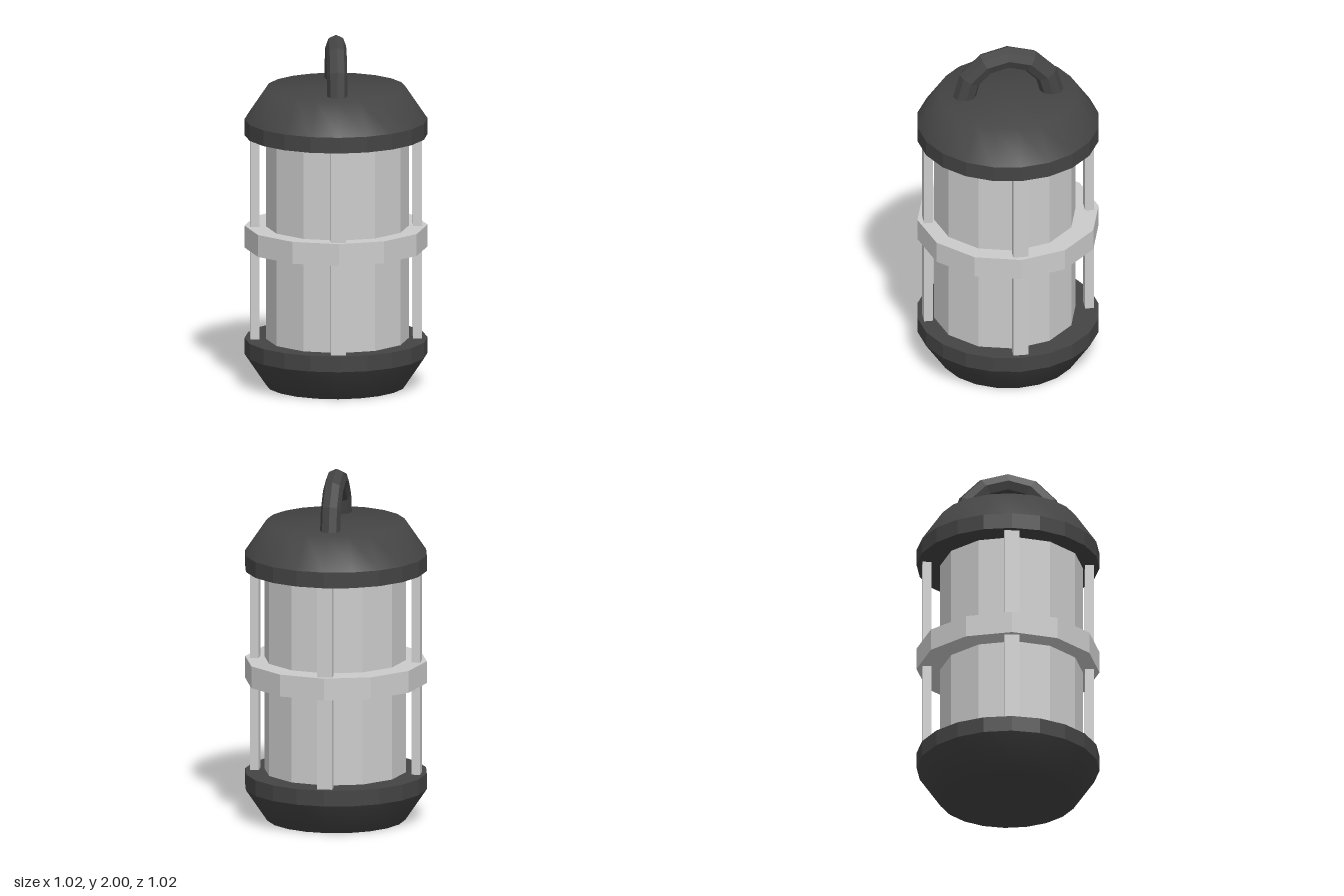
import * as THREE from 'three';

export function createModel() {
  const lantern = new THREE.Group();
  lantern.name = 'lantern';

  const grey = new THREE.MeshStandardMaterial({ color: 0xcccccc, flatShading: true });
  const dark = new THREE.MeshStandardMaterial({ color: 0x444444 });
  const darkFlat = new THREE.MeshStandardMaterial({ color: 0x444444, flatShading: true });

  const add = (parent, name, geometry, material, x = 0, y = 0, z = 0) => {
    const mesh = new THREE.Mesh(geometry, material);
    mesh.name = name;
    mesh.position.set(x, y, z);
    parent.add(mesh);
    return mesh;
  };

  // End cap: faceted rim below a smooth tapered dome with a flat crown
  const R = 0.512;
  const endCap = (name) => {
    const cap = new THREE.Group();
    cap.name = name;
    add(cap, name + 'Rim', new THREE.CylinderGeometry(R, R, 0.09, 20), darkFlat, 0, 0.045, 0);
    const profile = [[R, 0.09], [0.39, 0.27], [0, 0.27]].map(([x, y]) => new THREE.Vector2(x, y));
    add(cap, name + 'Dome', new THREE.LatheGeometry(profile, 20), dark);
    lantern.add(cap);
    return cap;
  };
  endCap('topCap').position.y = 1.43;
  const base = endCap('base');
  base.rotation.x = Math.PI;
  base.position.y = 0.27;

  // Twelve-sided lamp body, sitting slightly off centre
  add(lantern, 'body', new THREE.CylinderGeometry(0.4, 0.4, 1.2, 12), grey, 0.007, 0.85, 0.02);

  // Guard band around the middle
  add(lantern, 'guardBand', new THREE.CylinderGeometry(R, R, 0.125, 12), grey, 0, 0.85, 0);

  // Four upright guard bars
  for (let i = 0; i < 4; i++) {
    const a = (i * Math.PI) / 2;
    const bar = add(lantern, 'guardBar' + (i + 1), new THREE.BoxGeometry(0.085, 1.2, 0.05), grey,
      Math.sin(a) * 0.455, 0.85, Math.cos(a) * 0.455);
    bar.rotation.y = a;
  }

  // Arched carrying handle, running front to back
  const arch = new THREE.TorusGeometry(0.25, 0.066, 8, 6, Math.PI);
  arch.rotateY(Math.PI / 2).scale(0.86, 1, 1);
  add(lantern, 'handle', arch, darkFlat, 0, 1.684, 0);

  return lantern;
}
